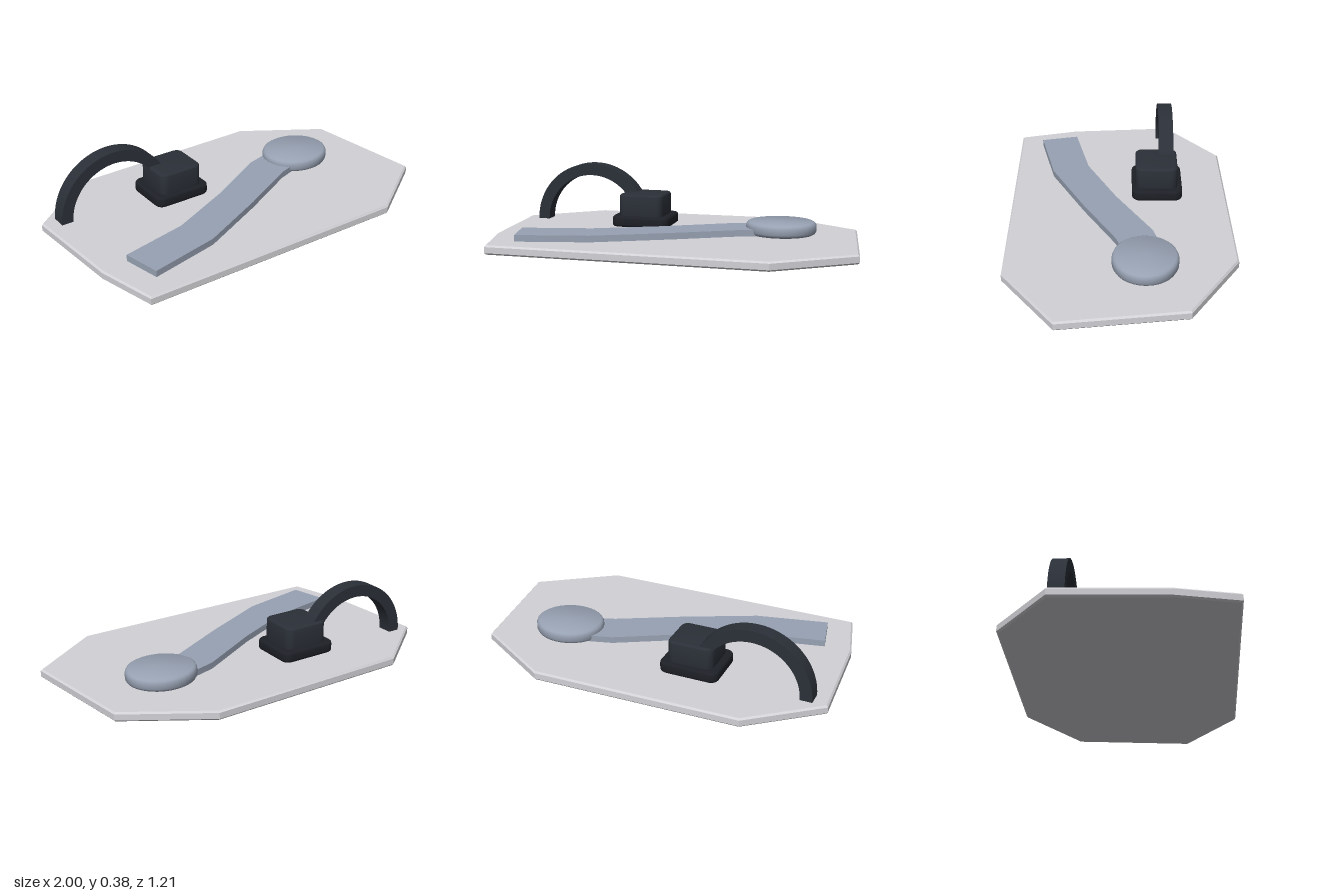
import * as THREE from 'three';
import { toCreasedNormals } from 'three/addons/utils/BufferGeometryUtils.js';

const material = (color) => new THREE.MeshStandardMaterial({ color, roughness: 0.8 });

// Flat outline given as (x, z) points
function outline(points) {
  return new THREE.Shape(points.map(([x, z]) => new THREE.Vector2(x, -z)));
}

// Rounded rectangle centred on (cx, cz)
function roundedRect(cx, cz, w, d, r) {
  const s = new THREE.Shape();
  const corners = [[1, 1, 0], [-1, 1, 1], [-1, -1, 2], [1, -1, 3]];
  for (const [sx, sy, q] of corners) {
    s.absarc(cx + sx * (w / 2 - r), -cz + sy * (d / 2 - r), r, q * Math.PI / 2, (q + 1) * Math.PI / 2);
  }
  s.closePath();
  return s;
}

// Upright slab from y0 to y1 with bevelled rims kept inside the outline
function slab(name, shape, y0, y1, bevel, segments, mat) {
  const geometry = new THREE.ExtrudeGeometry(shape, {
    depth: y1 - y0 - 2 * bevel,
    bevelEnabled: bevel > 0,
    bevelThickness: bevel,
    bevelSize: bevel,
    bevelOffset: -bevel,
    bevelSegments: segments,
    curveSegments: 6,
  });
  geometry.rotateX(-Math.PI / 2);
  geometry.translate(0, y0 + bevel, 0);
  const mesh = new THREE.Mesh(toCreasedNormals(geometry, 0.55), mat);
  mesh.name = name;
  return mesh;
}

export function createModel() {
  const model = new THREE.Group();
  model.name = 'groundModel';
  const stone = material(0xd2d1d6);
  const slate = material(0x98a2b3);
  const dark = material(0x2b3038);
  const darker = material(0x1d2026);

  // Irregular eight-sided ground plate
  const ground = outline([
    [-0.88, 0.6], [0.6, 0.6], [1, 0.32], [0.915, -0.34],
    [0.485, -0.605], [-0.64, -0.583], [-1, -0.295], [-0.96, 0.28],
  ]);
  model.add(slab('groundPlate', ground, 0, 0.05, 0.009, 1, stone));

  // Bent path leading to the disc
  const path = outline([
    [-0.77, 0.47], [-0.385, 0.385], [0, 0.2], [0.33, 0.025], [0.5, -0.03],
    [0.5, -0.24], [0.25, -0.17], [-0.1, 0.025], [-0.445, 0.185], [-0.815, 0.265],
  ]);
  model.add(slab('path', path, 0.045, 0.085, 0, 1, slate));

  // Oval disc with a rounded rim
  const profile = [[0, 0], [0.172, 0], [0.183, 0.006], [0.19, 0.018],
    [0.19, 0.05], [0.184, 0.062], [0.174, 0.068], [0, 0.068]];
  const discGeometry = new THREE.LatheGeometry(profile.map(([r, y]) => new THREE.Vector2(r, y)), 32);
  discGeometry.scale(1, 1, 0.9);
  const disc = new THREE.Mesh(toCreasedNormals(discGeometry, 0.6), slate);
  disc.name = 'disc';
  disc.position.set(0.53, 0.05, -0.125);
  model.add(disc);

  // Two-step pedestal
  model.add(slab('pedestalBase', roundedRect(-0.262, -0.205, 0.325, 0.28, 0.045), 0.05, 0.11, 0.014, 3, darker));
  model.add(slab('pedestalBlock', roundedRect(-0.262, -0.202, 0.25, 0.232, 0.04), 0.1, 0.23, 0.012, 3, dark));

  // Half-round arch from the plate into the pedestal
  const arc = new THREE.Shape();
  arc.absarc(0, 0, 0.33, 0, Math.PI, false);
  arc.absarc(0, 0, 0.265, Math.PI, 0, true);
  arc.closePath();
  const archGeometry = new THREE.ExtrudeGeometry(arc, { depth: 0.082, bevelEnabled: false, curveSegments: 28 });
  const arch = new THREE.Mesh(toCreasedNormals(archGeometry, 0.5), dark);
  arch.name = 'arch';
  arch.position.set(-0.59, 0.05, -0.301);
  model.add(arch);

  return model;
}
